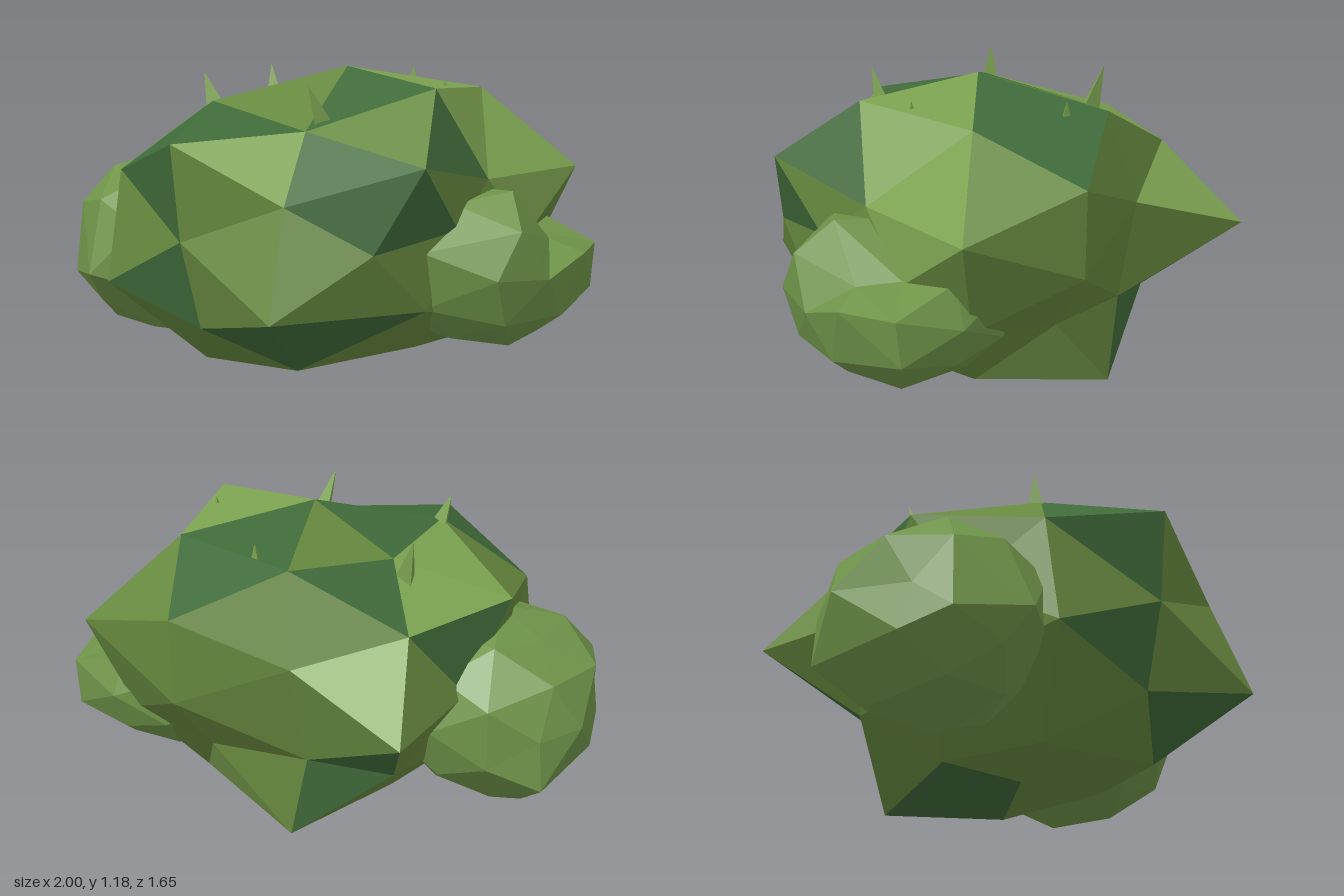
import * as THREE from 'three';

const material = (name, color) => {
  const m = new THREE.MeshStandardMaterial({ color });
  m.name = name;
  m.flatShading = true;
  return m;
};

// Moves, for each target point, the nearest corner of the clump onto it.
function pullCorners(geometry, targets) {
  const pos = geometry.attributes.position;
  const start = [];
  for (let i = 0; i < pos.count; i++) start.push(new THREE.Vector3().fromBufferAttribute(pos, i));
  for (const t of targets) {
    const goal = new THREE.Vector3(...t);
    const near = start.reduce((a, b) => (b.distanceTo(goal) < a.distanceTo(goal) ? b : a));
    start.forEach((p, i) => {
      if (p.distanceTo(near) < 1e-4) pos.setXYZ(i, ...t);
    });
  }
}

// A faceted leafy clump: squashed icosphere with some corners pulled.
function clumpGeometry(centre, radii, targets) {
  const g = new THREE.IcosahedronGeometry(1, 1);
  g.scale(...radii);
  g.translate(...centre);
  pullCorners(g, targets);
  g.computeVertexNormals();
  return g;
}

// Gives the faces nearest to the listed points another material.
function paintFaces(geometry, lists) {
  const pos = geometry.attributes.position;
  const mids = [];
  for (let i = 0; i < pos.count; i += 3) {
    const c = new THREE.Vector3();
    for (let k = 0; k < 3; k++) c.add(new THREE.Vector3().fromBufferAttribute(pos, i + k));
    mids.push(c.divideScalar(3));
  }
  const index = mids.map(() => 0);
  lists.forEach((points, m) => {
    for (const p of points) {
      const v = new THREE.Vector3(...p);
      let best = 0;
      mids.forEach((c, i) => {
        if (c.distanceTo(v) < mids[best].distanceTo(v)) best = i;
      });
      index[best] = m + 1;
    }
  });
  geometry.clearGroups();
  index.forEach((m, i) => geometry.addGroup(i * 3, 3, m));
}

export function createModel() {
  const group = new THREE.Group();
  group.name = 'bush';
  const mid = material('mid green', 0x67893f);
  const deep = material('deep green', 0x406b3a);
  const light = material('light green', 0x7ca250);
  const leaf = material('leaf green', 0x6f9449);

  const add = (name, geometry, mat) => {
    const mesh = new THREE.Mesh(geometry, mat);
    mesh.name = name;
    group.add(mesh);
    return mesh;
  };

  // Main clump
  const main = clumpGeometry([0.13, 0.57, -0.02], [0.77, 0.6, 0.8], [
    // crown
    [0.13, 1.18, -0.03], [0.64, 1.13, -0.03], [-0.27, 1.03, -0.02],
    [0.4, 0.98, 0.4], [-0.15, 1.05, 0.42], [0.41, 1.09, -0.49], [-0.17, 1.09, -0.5],
    [0.13, 0.94, 0.82], [0.13, 0.91, -0.83],
    // sides
    [0.88, 0.88, 0.24], [-0.65, 0.89, 0.24], [-0.57, 0.87, -0.28], [0.72, 0.78, -0.23],
    [0.56, 0.74, 0.63], [-0.38, 0.78, 0.7], [0.63, 0.77, -0.81], [-0.25, 0.74, -0.58],
    [0.64, 0.34, 0.76], [-0.38, 0.34, 0.77], [-0.77, 0.57, -0.56],
    [0.8, 0.62, 0], [0.7, 0.54, -0.47], [0.78, 0.33, 0.14], [0.13, 0.23, 0.69],
    // underside
    [-0.24, 0.33, -0.48], [0.13, 0.33, -0.62], [0.4, 0.08, 0.44],
    [-0.18, 0.02, 0.44], [-0.18, 0, -0.51], [0.13, 0.08, -0.03], [0.55, 0.13, -0.02],
  ]);
  paintFaces(main, [
    [ // deep green faces
      [0.12, 1.12, -0.34], [0.12, 1.03, -0.61], [0.38, 1.1, 0.12], [-0.1, 1.08, 0.12],
      [-0.34, 0.99, -0.27], [0.13, 0.99, 0.55], [-0.13, 0.92, 0.65], [-0.04, 0.76, 0.76],
      [-0.04, 0.38, 0.74], [0.74, 0.73, 0.41], [0.82, 0.69, 0.2], [0.75, 0.93, 0],
      [0.61, 0.87, 0.42], [-0.62, 0.78, -0.02], [-0.5, 0.39, -0.44], [-0.3, 0.2, -0.42],
      [0.39, 0.22, 0.63], [0.6, 0.25, 0.44], [0.1, 0.06, -0.33], [-0.13, 0.06, -0.19],
    ],
    [ // light green faces
      [0.39, 1.13, -0.18], [-0.36, 0.99, 0.21], [-0.5, 0.93, -0.02], [0.36, 0.89, 0.62],
      [0.59, 1.0, -0.25], [0.59, 0.88, -0.51], [-0.53, 0.73, -0.47], [0.68, 0.7, -0.5],
      [0.11, 0.14, -0.52],
    ],
  ]);
  add('mainClump', main, [mid, deep, light]);

  // Side clumps
  add('rightClump', clumpGeometry([-0.56, 0.43, 0.3], [0.44, 0.39, 0.45], [
    [-1, 0.45, 0.24], [-0.95, 0.23, 0.06], [-0.77, 0.09, 0.18], [-0.88, 0.25, 0.48],
    [-0.85, 0.43, 0.52], [-0.76, 0.6, 0.64], [-0.5, 0.35, 0.78], [-0.76, 0.72, 0.3],
    [-0.46, 0.05, 0.29],
  ]), leaf);
  add('leftClump', clumpGeometry([0.58, 0.43, -0.28], [0.42, 0.3, 0.45], [
    [0.85, 0.75, -0.23], [0.98, 0.62, -0.15], [0.97, 0.5, -0.5], [0.98, 0.45, -0.03],
    [0.84, 0.5, -0.7], [0.86, 0.55, -0.42], [0.78, 0.55, 0.16], [0.75, 0.71, -0.02],
    [0.7, 0.56, -0.48], [0.82, 0.15, -0.25], [0.95, 0.27, -0.4], [0.95, 0.27, -0.1],
    [0.72, 0.15, -0.5], [0.82, 0.32, -0.7], [0.75, 0.33, 0.13],
  ]), leaf);

  // Thin shoots: base point, then tip
  const shoots = [
    [[-0.36, 0.96, -0.05], [-0.42, 1.15, -0.08]],
    [[-0.15, 1.0, 0.4], [-0.19, 1.16, 0.43]],
    [[0.39, 0.96, 0.29], [0.39, 1.15, 0.38]],
    [[0.01, 1.0, -0.47], [0.01, 1.15, -0.49]],
    [[0.5, 1.0, -0.19], [0.51, 1.15, -0.2]],
  ];
  for (const [base, tip] of shoots) {
    const a = new THREE.Vector3(...base);
    const axis = new THREE.Vector3(...tip).sub(a);
    const height = axis.length();
    const cone = new THREE.ConeGeometry(0.05, height, 3);
    cone.translate(0, height / 2, 0);
    const shoot = add('shoot', cone, light);
    shoot.position.copy(a);
    shoot.quaternion.setFromUnitVectors(new THREE.Vector3(0, 1, 0), axis.normalize());
  }
  return group;
}
